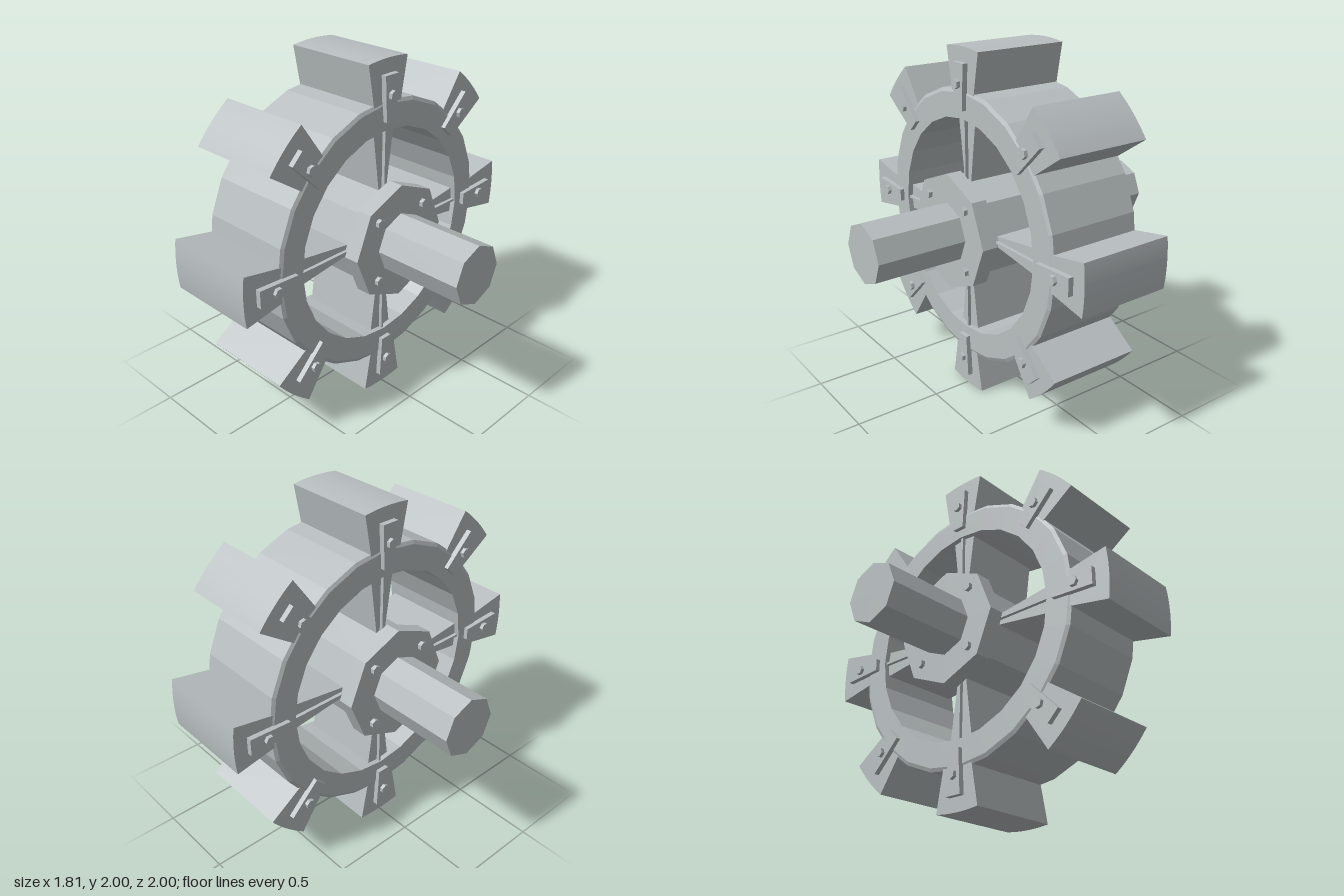
import * as THREE from 'three';

export function createModel() {
  const steel = new THREE.MeshStandardMaterial({ color: 0xb9bfc1, flatShading: true });
  steel.name = 'steel grey';

  // The wheel is built around local z, then turned so its axle lies along x
  const wheel = new THREE.Group();
  wheel.name = 'sprocketWheel';

  const add = (name, geometry, parent = wheel) => {
    const mesh = new THREE.Mesh(geometry, steel);
    mesh.name = name;
    parent.add(mesh);
    return mesh;
  };

  // Prism around z with a corner pointing up
  const prism = (radius, depth, sides, z = 0) =>
    new THREE.CylinderGeometry(radius, radius, depth, sides).rotateX(Math.PI / 2).translate(0, 0, z);

  const slab = (shape, z0, z1) =>
    new THREE.ExtrudeGeometry(shape, { depth: z1 - z0, bevelEnabled: false, curveSegments: 8 }).translate(0, 0, z0);

  // Radial trapezoid, from radius r0 (half width w0) to r1 (half width w1)
  const taper = (r0, w0, r1, w1) => new THREE.Shape([
    new THREE.Vector2(-w0, r0), new THREE.Vector2(w0, r0),
    new THREE.Vector2(w1, r1), new THREE.Vector2(-w1, r1),
  ]);

  // Faceted drum with chamfered outer edges
  const profile = [
    [0.62, -0.28], [0.76, -0.28], [0.78, -0.27], [0.78, 0.27],
    [0.76, 0.28], [0.62, 0.28], [0.62, -0.28],
  ].map(([r, h]) => new THREE.Vector2(r, h));
  add('drum', new THREE.LatheGeometry(profile, 24).rotateX(Math.PI / 2));

  // Tooth with a rounded tip
  const toothShape = new THREE.Shape();
  const tip = Math.asin(0.145);
  toothShape.moveTo(-0.095, 0.72);
  toothShape.lineTo(0.095, 0.72);
  toothShape.lineTo(0.145, Math.cos(tip));
  toothShape.absarc(0, 0, 1, Math.PI / 2 - tip, Math.PI / 2 + tip, false);
  toothShape.closePath();

  for (let i = 0; i < 8; i++) {
    const tooth = new THREE.Group();
    tooth.name = 'tooth' + (i + 1);
    tooth.rotation.z = (i * Math.PI) / 4;
    wheel.add(tooth);
    add('toothBlock', slab(toothShape, -0.275, 0.275), tooth);

    // Clamping straps and bolts on both sides
    const strapShape = i % 2 ? taper(0.68, 0.045, 0.925, 0.045) : taper(0.67, 0.036, 0.92, 0.05);
    for (const side of [-1, 1]) {
      add('strap', slab(strapShape, side > 0 ? 0.27 : -0.305, side > 0 ? 0.305 : -0.27), tooth);
      add('strapBolt', prism(0.028, 0.04, 6, side * 0.306).translate(0, 0.812, 0), tooth);
    }
  }

  // Four tapered spokes with a narrow rib along each edge
  for (let i = 0; i < 4; i++) {
    const spoke = new THREE.Group();
    spoke.name = 'spoke' + (i + 1);
    spoke.rotation.z = (i * Math.PI) / 2;
    wheel.add(spoke);
    add('spokeWeb', slab(taper(0.25, 0.028, 0.62, 0.078), -0.25, 0.25), spoke);
    add('spokeRib', slab(taper(0.25, 0.007, 0.62, 0.007), -0.27, 0.27), spoke);
  }

  // Hub core, flanges, hub bolts and axle ends
  add('hubCore', prism(0.285, 0.6, 8));
  for (const side of [-1, 1]) {
    add('hubFlange', prism(0.335, 0.09, 8, side * 0.342));
    add('axle', prism(0.17, 0.54, 8, side * 0.635));
    for (const x of [-0.175, 0.175]) {
      for (const y of [-0.175, 0.175]) {
        add('hubBolt', prism(0.026, 0.04, 6, side * 0.39).translate(x, y, 0));
      }
    }
  }

  wheel.rotation.y = Math.PI / 2;
  wheel.position.y = 1;
  const model = new THREE.Group();
  model.name = 'driveSprocket';
  model.add(wheel);
  return model;
}
